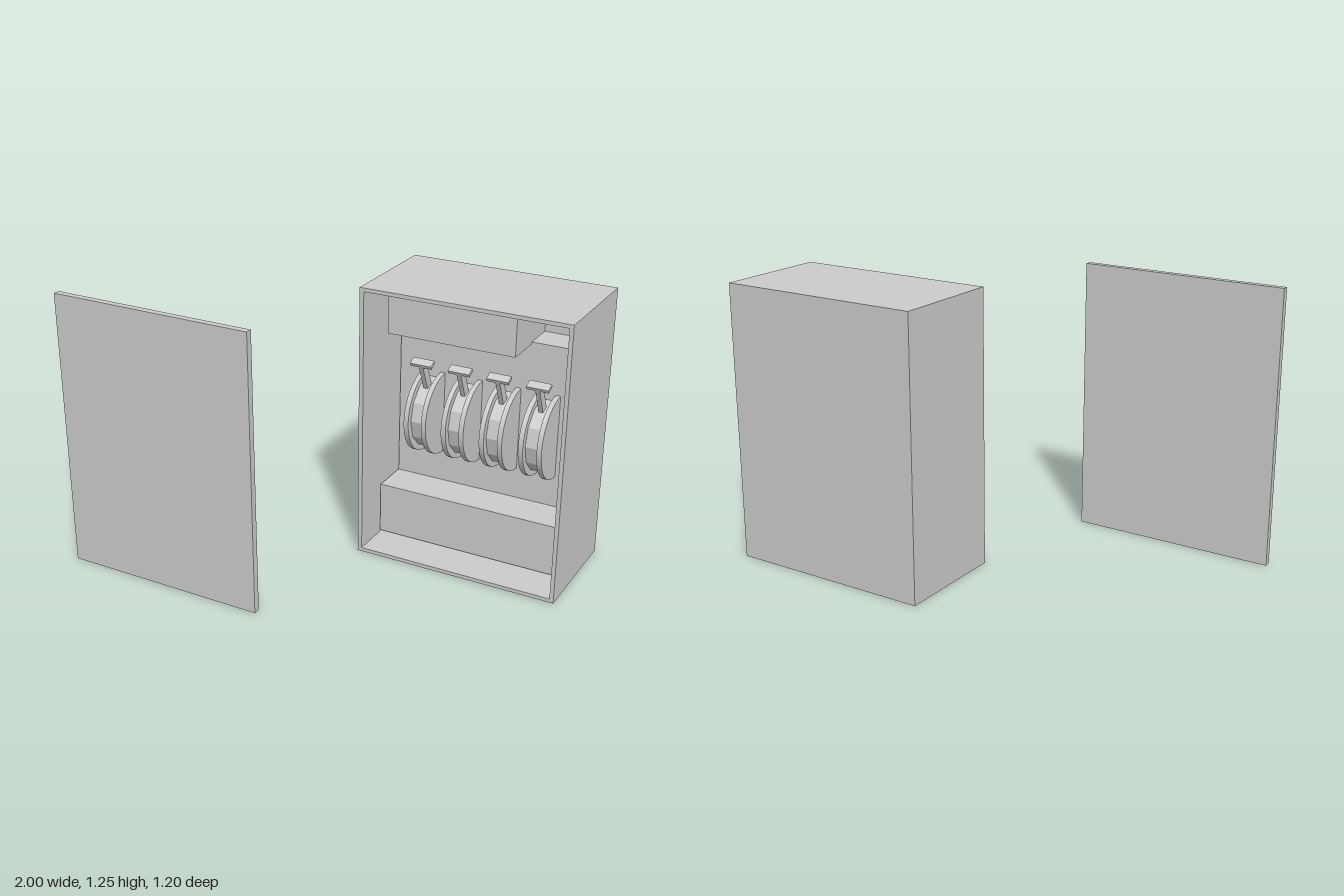
import * as THREE from 'three';

const smooth = new THREE.MeshStandardMaterial({ color: 0xcccccc });
const flat = new THREE.MeshStandardMaterial({ color: 0xcccccc, flatShading: true });

// Box given by its min and max corners
function block(name, [x0, y0, z0], [x1, y1, z1]) {
  const mesh = new THREE.Mesh(new THREE.BoxGeometry(x1 - x0, y1 - y0, z1 - z0), flat);
  mesh.position.set((x0 + x1) / 2, (y0 + y1) / 2, (z0 + z1) / 2);
  mesh.name = name;
  return mesh;
}

// Half disc bulging to +z, with its axis along x
function halfDisc(name, radius, width, segments, material, x) {
  const geo = new THREE.CylinderGeometry(radius, radius, width, segments, 1, false, -Math.PI / 2, Math.PI);
  geo.rotateZ(Math.PI / 2);
  const mesh = new THREE.Mesh(geo, material);
  mesh.position.x = x;
  mesh.name = name;
  return mesh;
}

function rect(target, x0, y0, x1, y1) {
  target.moveTo(x0, y0);
  target.lineTo(x1, y0);
  target.lineTo(x1, y1);
  target.lineTo(x0, y1);
  target.closePath();
  return target;
}

// Rotary breaker: two flanges, a recessed faceted hub and a T-shaped lever
function breaker() {
  const group = new THREE.Group();
  group.name = 'breaker';
  for (const side of [-1, 1]) {
    group.add(halfDisc('flange', 0.19, 0.022, 20, smooth, side * 0.042));
  }
  group.add(halfDisc('hub', 0.163, 0.064, 6, flat, 0));

  const lever = new THREE.Group();
  lever.name = 'lever';
  lever.add(block('leverStem', [-0.01, 0.13, -0.02], [0.01, 0.295, 0.02]));
  lever.add(block('leverGrip', [-0.05, 0.29, -0.02], [0.05, 0.305, 0.02]));
  lever.rotation.x = THREE.MathUtils.degToRad(25);
  group.add(lever);
  return group;
}

export function createModel() {
  const model = new THREE.Group();

  // Detached cover panel
  model.add(block('coverPanel', [-1, 0, 0.57], [-0.06, 1.25, 0.6]));

  // Cabinet: open-fronted walls plus back
  const outline = rect(new THREE.Shape(), 0.06, 0, 1, 1.25);
  outline.holes.push(rect(new THREE.Path(), 0.08, 0.017, 0.982, 1.233));
  const walls = new THREE.Mesh(
    new THREE.ExtrudeGeometry(outline, { depth: 0.52, bevelEnabled: false }), flat);
  walls.position.z = -0.6;
  walls.name = 'cabinetWalls';
  model.add(walls);
  model.add(block('cabinetBack', [0.061, 0.001, -0.6], [0.999, 1.249, -0.58]));

  // Interior fittings
  model.add(block('mountingPlate', [0.085, 0.03, -0.58], [0.965, 1.01, -0.43]));
  model.add(block('lowerDuct', [0.085, 0.03, -0.43], [0.965, 0.265, -0.25]));
  model.add(block('upperHousing', [0.11, 1.0, -0.58], [0.7, 1.233, -0.25]));

  // Row of breakers
  for (let i = 0; i < 4; i++) {
    const unit = breaker();
    unit.position.set(0.252 + i * 0.18, 0.6, -0.43);
    model.add(unit);
  }
  return model;
}
